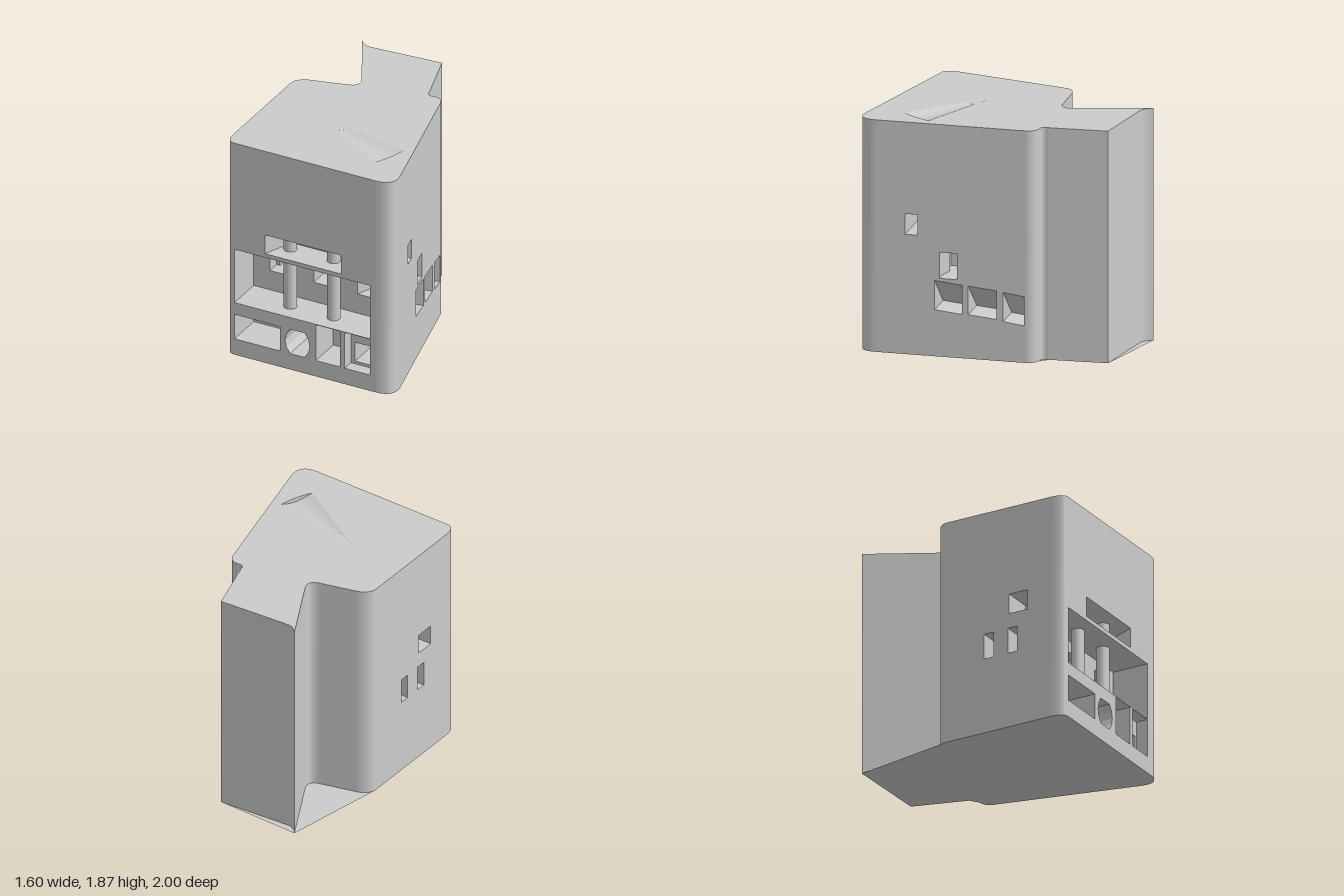
import * as THREE from 'three';

const H = 1.87;
const material = new THREE.MeshStandardMaterial({ color: 0xcccccc, side: THREE.DoubleSide });

function add(parent, geometry, name) {
  const mesh = new THREE.Mesh(geometry, material);
  mesh.name = name;
  parent.add(mesh);
  return mesh;
}

// Surface between two rows of points
function loft(a, b) {
  const n = a.length, index = [];
  for (let i = 0; i < n - 1; i++) index.push(i, i + 1, n + i + 1, i, n + i + 1, n + i);
  const g = new THREE.BufferGeometry().setFromPoints([...a, ...b]);
  g.setIndex(index);
  g.computeVertexNormals();
  return g;
}

// Flat face with recessed pockets; each pocket may hold further pockets in its back face
function face(parent, outline, w, pockets, name) {
  const shape = new THREE.Shape(outline);
  for (const p of pockets) shape.holes.push(new THREE.Path(p.pts));
  add(parent, new THREE.ShapeGeometry(shape).translate(0, 0, w), name);
  for (const { pts, depth, shift = 0, wedge, inner = [] } of pockets) {
    const back = wedge ? [pts[0], pts[1], pts[1], pts[0]]
      : pts.map(p => new THREE.Vector2(p.x + shift, p.y));
    pts.forEach((p, i) => {
      const j = (i + 1) % pts.length, q = pts[j];
      add(parent, loft(
        [new THREE.Vector3(p.x, p.y, w), new THREE.Vector3(q.x, q.y, w)],
        [new THREE.Vector3(back[i].x, back[i].y, w - depth), new THREE.Vector3(back[j].x, back[j].y, w - depth)]
      ), 'openingReveal');
    });
    if (!wedge) face(parent, back, w - depth, inner, 'openingBack');
  }
}

// Local frame of a wall: +x runs along it, +z points outward; u() turns a world x or z into a local x
function frameOf(line) {
  const { v1, v2 } = line, d = v2.clone().sub(v1), length = d.length();
  d.normalize();
  const normal = { x: -d.y, y: d.x };
  const group = new THREE.Group();
  group.position.set(v1.x, 0, v1.y);
  group.rotation.y = Math.atan2(-d.y, d.x);
  const u = (value, axis, w = 0) => (value - v1[axis] - w * normal[axis]) / d[axis];
  const rect = (a, b, y0, y1, axis, w = 0, slope = 0) => {
    const [l, r] = [u(a, axis, w), u(b, axis, w)].sort((p, q) => p - q);
    return [[l, y0], [r, y0 - slope], [r, y1 - slope], [l, y1]].map(p => new THREE.Vector2(...p));
  };
  return { group, length, u, rect };
}

// Barrel-shaped outline: flat top and bottom, bowed sides
function barrel(cx, cy, halfWidth, halfHeight) {
  const pts = [];
  for (const side of [1, -1]) for (let i = 0; i <= 4; i++) {
    const t = side * (i / 2 - 1);
    pts.push(new THREE.Vector2(cx + side * halfWidth * (1 - 0.4 * t * t), cy + t * halfHeight));
  }
  return pts;
}

function frontPockets({ u, rect }) {
  const X = (a, b, y0, y1, w) => rect(a, b, y0, y1, 'x', w);
  const niches = [[-0.45, -0.32, 0], [-0.07, 0.07, 0], [0.31, 0.44, 0.12]]
    .map(([a, b, shift]) => ({ pts: X(a, b, 0.63, 0.84, -0.31), depth: 0.32, shift }));
  const peephole = new THREE.Path().absarc(u(0.27, 'x', -0.28), 0.375, 0.03, 0, Math.PI * 2).getPoints(6).slice(0, -1);
  return [
    { pts: X(-0.27, 0.39, 0.965, 1.13), depth: 0.25, shift: 0.1 },
    { pts: X(-0.535, 0.64, 0.46, 0.93), depth: 0.31, inner: niches },
    { pts: X(-0.535, -0.14, 0.14, 0.355), depth: 0.31, inner: [{ pts: X(-0.525, -0.42, 0.165, 0.33, -0.31), depth: 0.06 }] },
    { pts: barrel(u(0.01, 'x'), 0.248, 0.108, 0.107), depth: 0.31,
      inner: [{ pts: barrel(u(-0.045, 'x', -0.31), 0.248, 0.045, 0.085), depth: 0.1 }] },
    { pts: X(0.17, 0.38, 0.14, 0.455), depth: 0.28, inner: [{ pts: peephole, depth: 0.03 }] },
    { pts: X(0.42, 0.64, 0.14, 0.455), depth: 0.1, inner: [{ pts: X(0.44, 0.6, 0.165, 0.33, -0.1), depth: 0.28 }] },
  ];
}

function rightPockets({ rect }) {
  const hoods = [[0.165, -0.035, 0.375, 0.61], [-0.08, -0.285, 0.355, 0.585], [-0.335, -0.485, 0.32, 0.555]]
    .map(([a, b, y0, y1]) => ({ pts: rect(a, b, y0, y1, 'y', 0, 0.022), depth: 0.26, wedge: true }));
  return [
    { pts: rect(0.29, 0.38, 0.965, 1.13, 'y'), depth: 0.4 },
    { pts: rect(0, 0.13, 0.63, 0.84, 'y'), depth: 0.36 },
    ...hoods,
  ];
}

function leftPockets({ rect }) {
  return [[0.53, 0.69, 0.965, 1.13], [0.31, 0.39, 0.63, 0.84], [0.52, 0.6, 0.63, 0.84]]
    .map(([a, b, y0, y1]) => ({ pts: rect(a, b, y0, y1, 'y'), depth: 0.25 }));
}

// Plan outline in (x, z): left wall, front wall, right wall, as shared by tower and base
function mainOutline() {
  return new THREE.Shape()
    .moveTo(-0.8, -0.03).lineTo(-0.635, 0.87)
    .quadraticCurveTo(-0.612, 1.01, -0.54, 0.998).lineTo(0.69, 0.775)
    .quadraticCurveTo(0.85, 0.74, 0.785, 0.59).lineTo(0.305, -0.49)
    .quadraticCurveTo(0.275, -0.56, 0.2, -0.55);
}

export function createModel() {
  const model = new THREE.Group();
  model.name = 'tower';

  const plan = mainOutline()
    .quadraticCurveTo(0.14, -0.52, 0.125, -0.58).lineTo(-0.09, -1).lineTo(-0.67, -0.85)
    .quadraticCurveTo(-0.73, -0.83, -0.795, -0.89).lineTo(-0.42, -0.42)
    .quadraticCurveTo(-0.33, -0.32, -0.45, -0.27).lineTo(-0.72, -0.145)
    .quadraticCurveTo(-0.8, -0.1, -0.8, -0.03);

  // Walls: flat panels for straight runs, smooth strips for rounded corners
  const special = { 0: ['leftWall', leftPockets], 2: ['frontWall', frontPockets], 4: ['rightWall', rightPockets] };
  plan.curves.forEach((curve, i) => {
    if (!curve.isLineCurve) {
      const pts = curve.getPoints(12);
      const row = y => pts.map(p => new THREE.Vector3(p.x, y, p.y));
      add(model, loft(row(0), row(H)), 'roundedCorner');
      return;
    }
    const [name, pockets] = special[i] || ['backWall', () => []];
    const frame = frameOf(curve);
    frame.group.name = name;
    const outline = [[0, 0], [frame.length, 0], [frame.length, H], [0, H]].map(p => new THREE.Vector2(...p));
    face(frame.group, outline, 0, pockets(frame), name + 'Panel');
    // Columns standing inside the front gallery
    if (i === 2) for (const x of [-0.165, 0.21]) {
      add(frame.group, new THREE.CylinderGeometry(0.052, 0.052, 0.67, 24), 'column')
        .position.set(frame.u(x, 'x', -0.16), 0.795, -0.16);
    }
    model.add(frame.group);
  });

  // Roof with a shallow fan-shaped scoop
  const apex = new THREE.Vector3(-0.25, H, 0.26), R = 0.8, sweep = 0.36, steps = 16;
  const arc = depth => Array.from({ length: steps + 1 }, (_, i) => {
    const a = sweep * i / steps;
    return new THREE.Vector3(apex.x + R * Math.cos(a), H - depth * Math.sin(Math.PI * i / steps), apex.z + R * Math.sin(a));
  });
  const rim = arc(0), bed = arc(0.035);
  plan.holes.push(new THREE.Path([apex, ...rim].map(p => new THREE.Vector2(p.x, p.z))));
  add(model, new THREE.ShapeGeometry(plan).rotateX(Math.PI / 2).translate(0, H, 0), 'roof');
  add(model, loft(bed, bed.map(() => apex)), 'scoopBed');
  add(model, loft(rim, bed), 'scoopEnd');
  const dome = add(model, new THREE.SphereGeometry(0.062, 24, 8, 0, Math.PI, 0, Math.PI / 2), 'scoopDome');
  dome.position.set(-0.075, H - 0.008, 0.261);
  dome.scale.y = 0.12;

  // Base sheet, which fills the back recess at ground level
  const base = mainOutline().lineTo(0.12, -0.59).lineTo(-0.09, -1).lineTo(-0.795, -0.89);
  add(model, new THREE.ShapeGeometry(base).rotateX(Math.PI / 2), 'base');
  return model;
}
